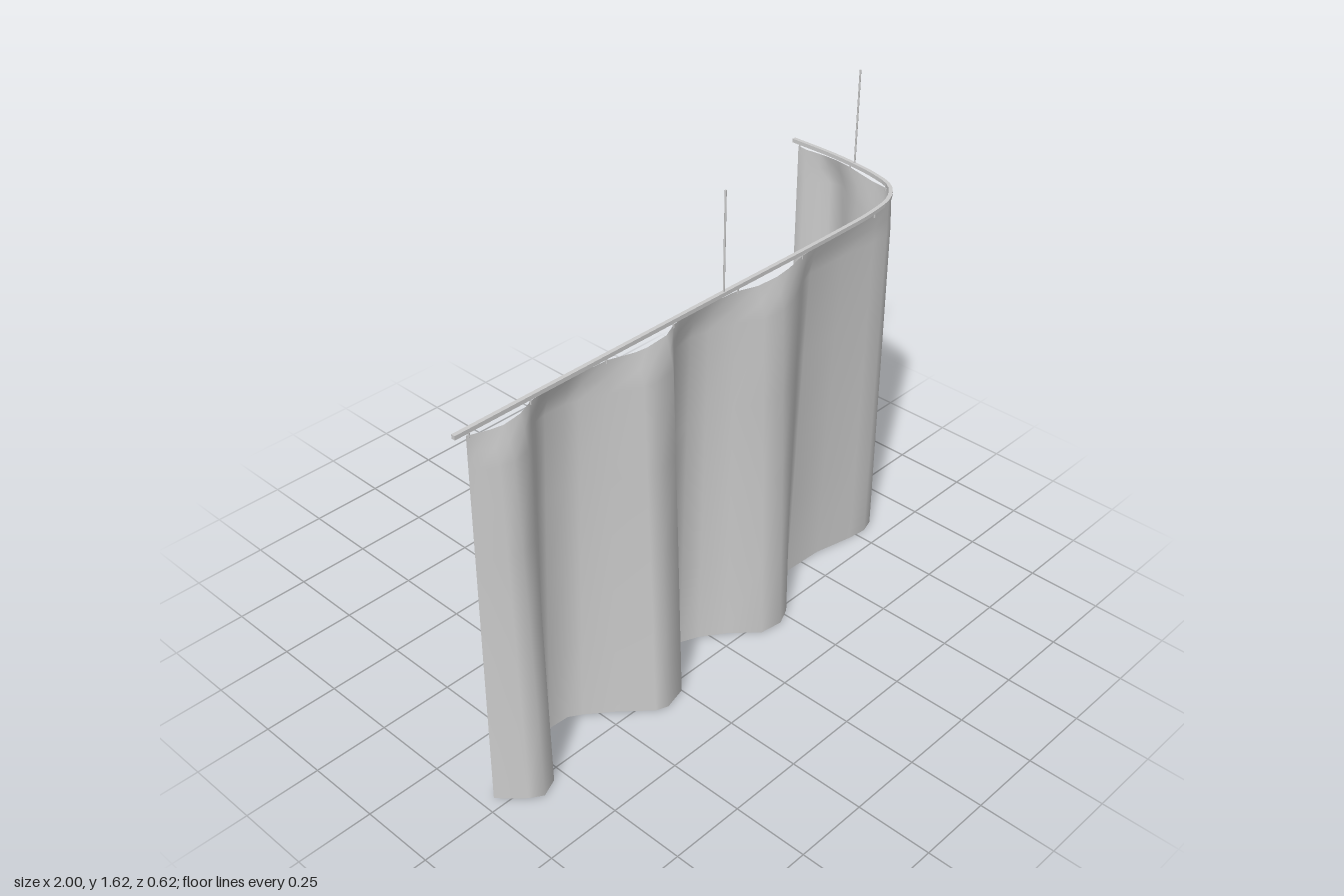
import * as THREE from 'three';

const grey = new THREE.MeshStandardMaterial({ color: 0xcccccc });
const clothMaterial = new THREE.MeshStandardMaterial({ color: 0xcccccc, side: THREE.DoubleSide });
const RAIL_Y = 1.295, CLOTH_TOP = 1.28;

// Centre line of the rail, as x, z
const railPoints = [
  [-1, 0.21], [-0.5, 0.21], [0, 0.21], [0.5, 0.21], [0.68, 0.204], [0.79, 0.183], [0.86, 0.13],
  [0.89, 0.05], [0.907, -0.05], [0.915, -0.15], [0.915, -0.312],
];

// Folds along the hem, as x, z
const hemPoints = [
  [-0.96, 0.21], [-0.94, 0.235], [-0.89, 0.285], [-0.85, 0.31], [-0.79, 0.285], [-0.74, 0.21],
  [-0.69, 0.13], [-0.65, 0.116], [-0.58, 0.12], [-0.54, 0.145], [-0.46, 0.21],
  [-0.37, 0.295], [-0.33, 0.31], [-0.25, 0.29], [-0.205, 0.21],
  [-0.165, 0.15], [-0.09, 0.13], [-0.03, 0.155], [0.05, 0.21],
  [0.13, 0.288], [0.21, 0.30], [0.27, 0.273], [0.34, 0.21],
  [0.38, 0.17], [0.43, 0.14], [0.58, 0.146], [0.72, 0.177], [0.79, 0.186], [0.84, 0.17], [0.873, 0.145],
  [0.866, 0.1], [0.856, 0.04], [0.88, -0.02], [0.914, -0.07], [0.998, -0.13], [0.985, -0.18],
  [0.935, -0.205], [0.902, -0.255], [0.918, -0.292],
];

function named(geometry, name, material = grey) {
  const mesh = new THREE.Mesh(geometry, material);
  mesh.name = name;
  return mesh;
}

// Cloth hung from the nearest rail points, its folds widening towards the hem
function clothGeometry(railCurve) {
  const samples = railCurve.getSpacedPoints(800);
  // height and share of the full fold depth for each row
  const rows = [[CLOTH_TOP, 0.2], [1.225, 0.38], [1.17, 0.54], [0.88, 0.66], [0.59, 0.78], [0.29, 0.89], [0, 1]];
  const n = hemPoints.length, position = [], index = [];
  const anchors = hemPoints.map(([x, z]) => samples.reduce((best, p) =>
    Math.hypot(p.x - x, p.z - z) < Math.hypot(best.x - x, best.z - z) ? p : best));
  rows.forEach(([y, depth], r) => {
    hemPoints.forEach(([x, z], i) => {
      const a = anchors[i];
      const sag = r === 0 ? 0.1 * Math.hypot(x - a.x, z - a.z) : 0;
      position.push(a.x + (x - a.x) * depth, y - sag, a.z + (z - a.z) * depth);
      if (r > 0 && i > 0) {
        const d = r * n + i, c = d - 1, b = d - n, e = b - 1;
        index.push(e, c, b, b, c, d);
      }
    });
  });
  const geometry = new THREE.BufferGeometry();
  geometry.setAttribute('position', new THREE.Float32BufferAttribute(position, 3));
  geometry.setIndex(index);
  geometry.computeVertexNormals();
  return geometry;
}

export function createModel() {
  const group = new THREE.Group();
  group.name = 'curtainOnRail';

  // Curved rail of square section
  const railCurve = new THREE.CatmullRomCurve3(railPoints.map(([x, z]) => new THREE.Vector3(x, RAIL_Y, z)));
  const h = 0.0065;
  const section = new THREE.Shape([[-h, -h], [h, -h], [h, h], [-h, h]].map(([x, y]) => new THREE.Vector2(x, y)));
  group.add(named(new THREE.ExtrudeGeometry(section, { steps: 80, extrudePath: railCurve }), 'rail'));

  // Curtain
  group.add(named(clothGeometry(railCurve), 'curtain', clothMaterial));

  // Ceiling rods
  for (const [x, z] of [[0, 0.21], [0.91, -0.05]]) {
    const rod = named(new THREE.CylinderGeometry(0.003, 0.003, 0.325, 8), 'hangingRod');
    rod.position.set(x, 1.4575, z);
    group.add(rod);
  }

  // Small hooks where the cloth meets the rail
  const hooks = [[-0.95, 0.21], [-0.74, 0.21], [-0.465, 0.21], [-0.205, 0.21], [0.06, 0.21],
    [0.345, 0.21], [0.7, 0.2], [0.87, 0.11], [0.908, -0.065], [0.915, -0.285]];
  for (const [x, z] of hooks) {
    const hook = named(new THREE.CylinderGeometry(0.003, 0.003, 0.02, 6), 'hook');
    hook.position.set(x, 1.28, z);
    group.add(hook);
  }
  return group;
}
